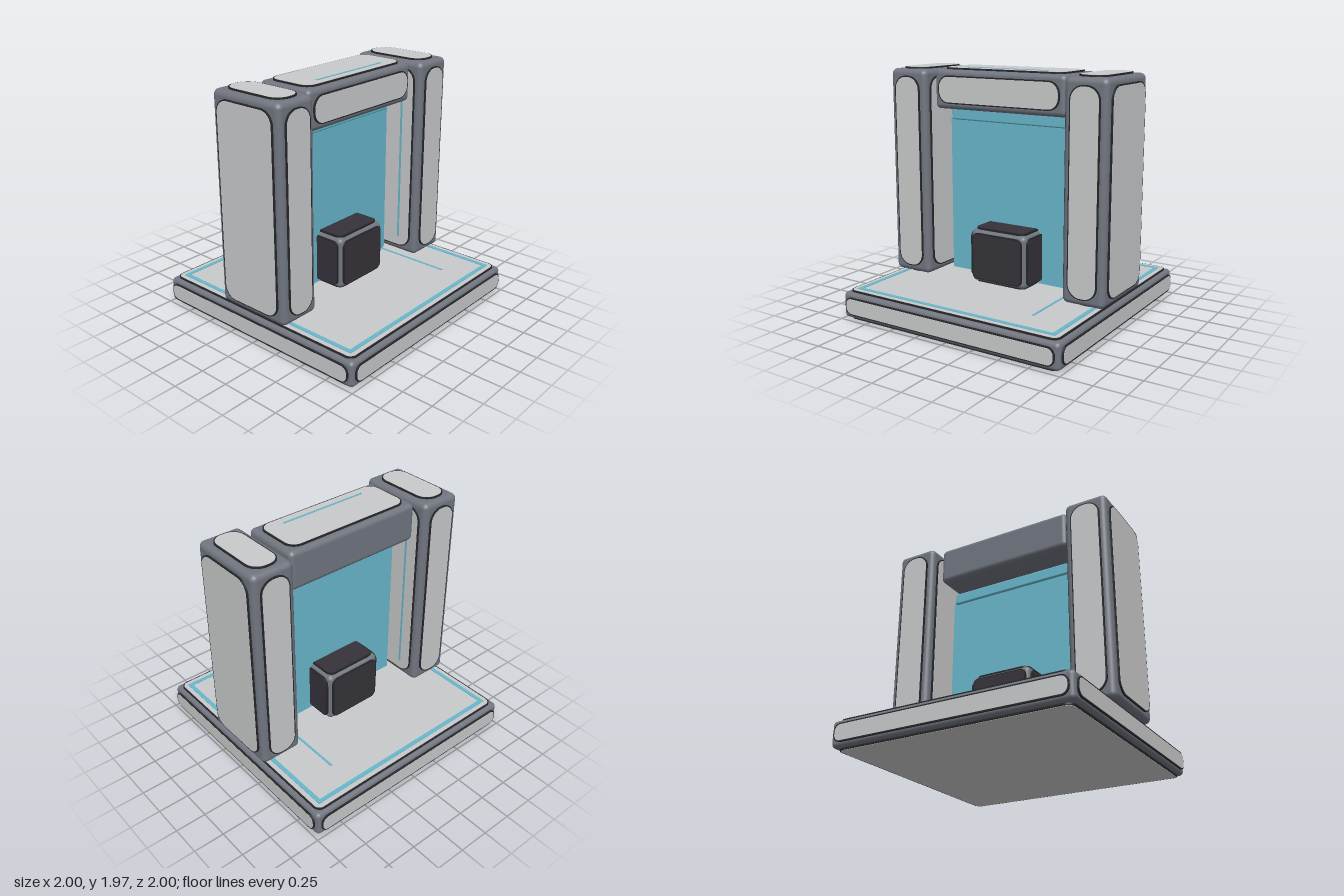
import * as THREE from 'three';
import { RoundedBoxGeometry } from 'three/addons/geometries/RoundedBoxGeometry.js';

const flat = (name, color) => {
  const m = new THREE.MeshStandardMaterial({ color });
  m.name = name;
  return m;
};

// Rounded rectangle plate lying in the xy plane, from z = 0 to z = depth
function plate(w, h, r, depth) {
  const x = w / 2, y = h / 2;
  r = Math.min(r, x * 0.96, y * 0.96);
  const s = new THREE.Shape();
  s.moveTo(-x + r, -y);
  s.lineTo(x - r, -y);
  s.absarc(x - r, -y + r, r, -Math.PI / 2, 0);
  s.lineTo(x, y - r);
  s.absarc(x - r, y - r, r, 0, Math.PI / 2);
  s.lineTo(-x + r, y);
  s.absarc(-x + r, y - r, r, Math.PI / 2, Math.PI);
  s.lineTo(-x, -y + r);
  s.absarc(-x + r, -y + r, r, Math.PI, Math.PI * 1.5);
  return new THREE.ExtrudeGeometry(s, { depth, bevelEnabled: false, curveSegments: 8 });
}

export function createModel() {
  const body = flat('slate casing', 0x70757f);
  const light = flat('light panel', 0xc9cacb);
  const rim = flat('dark rim', 0x27272b);
  const dark = flat('dark panel', 0x35333a);
  const glow = flat('teal glow', 0x68b7cc);
  const model = new THREE.Group();
  model.name = 'gateway';

  const add = (parent, name, geo, mat, x = 0, y = 0, z = 0) => {
    const m = new THREE.Mesh(geo, mat);
    m.name = name;
    m.position.set(x, y, z);
    parent.add(m);
    return m;
  };
  const bar = (name, w, h, d, x, y, z) =>
    add(model, name, new THREE.BoxGeometry(w, h, d), glow, x, y, z);

  // Which way each panel faces, with its width, height and offset
  const facing = {
    front: (w, h, d) => [w, h, d, 0, 0],
    back: (w, h, d) => [w, h, d, 0, Math.PI],
    left: (w, h, d) => [d, h, w, 0, Math.PI / 2],
    right: (w, h, d) => [d, h, w, 0, -Math.PI / 2],
    top: (w, h, d) => [w, d, h, -Math.PI / 2, 0],
    bottom: (w, h, d) => [w, d, h, Math.PI / 2, 0],
  };

  // Rounded casing with a rimmed panel on each listed face
  function block(name, [w, h, d], [x, y, z], bevel, inset, corner, panelMat, faces) {
    const g = new THREE.Group();
    g.name = name;
    g.position.set(x, y, z);
    add(g, name + 'Casing', new RoundedBoxGeometry(w, h, d, 4, bevel), body);
    for (const f of faces) {
      const [pw, ph, depth, rx, ry] = facing[f](w, h, d);
      const p = new THREE.Group();
      p.name = f + 'Panel';
      p.rotation.set(rx, ry, 0);
      const a = pw - inset * 2, b = ph - inset * 2;
      add(p, f + 'Rim', plate(a + 0.02, b + 0.02, corner + 0.01, 0.023), rim, 0, 0, depth / 2 - 0.01);
      add(p, f + 'Face', plate(a, b, corner, 0.008), panelMat, 0, 0, depth / 2 + 0.007);
      g.add(p);
    }
    model.add(g);
  }

  const all = Object.keys(facing);
  block('base', [1.97, 0.21, 1.97], [0, 0.12, 0], 0.035, 0.043, 0.05, light, all);
  for (const s of [1, -1]) {
    block(s > 0 ? 'leftPillar' : 'rightPillar', [0.355, 1.7, 0.67], [s * 0.808, 1.1, 0],
      0.045, 0.064, 0.1, light, all);
    // Light line on the inner face of the pillar
    bar('pillarLine', 0.012, 1.25, 0.016, s * 0.616, 1.02, s * 0.165);
  }
  block('lintel', [1.2, 0.315, 0.5], [0, 1.795, 0], 0.04, 0.056, 0.085, light, ['front', 'top']);
  block('core', [0.515, 0.435, 0.51], [0, 0.465, 0], 0.04, 0.035, 0.04, dark, all);

  // Glowing sheet and the bar above it
  bar('portalSheet', 1.226, 1.3, 0.024, 0, 0.89, 0);
  add(model, 'projectorBar', new RoundedBoxGeometry(1.19, 0.1, 0.06, 3, 0.015), glow, 0, 1.575, 0);

  // Inlaid lines on the base and lintel
  const yTop = 0.241;
  for (const s of [1, -1]) {
    bar('baseBorder', 1.81, 0.006, 0.034, 0, yTop, s * 0.888);
    bar('baseBorder', 0.034, 0.006, 1.742, s * 0.888, yTop, 0);
  }
  bar('baseLine', 0.018, 0.006, 1.32, 0.58, yTop, 0);
  bar('lintelLine', 0.76, 0.006, 0.016, 0, 1.968, 0.12);
  return model;
}
